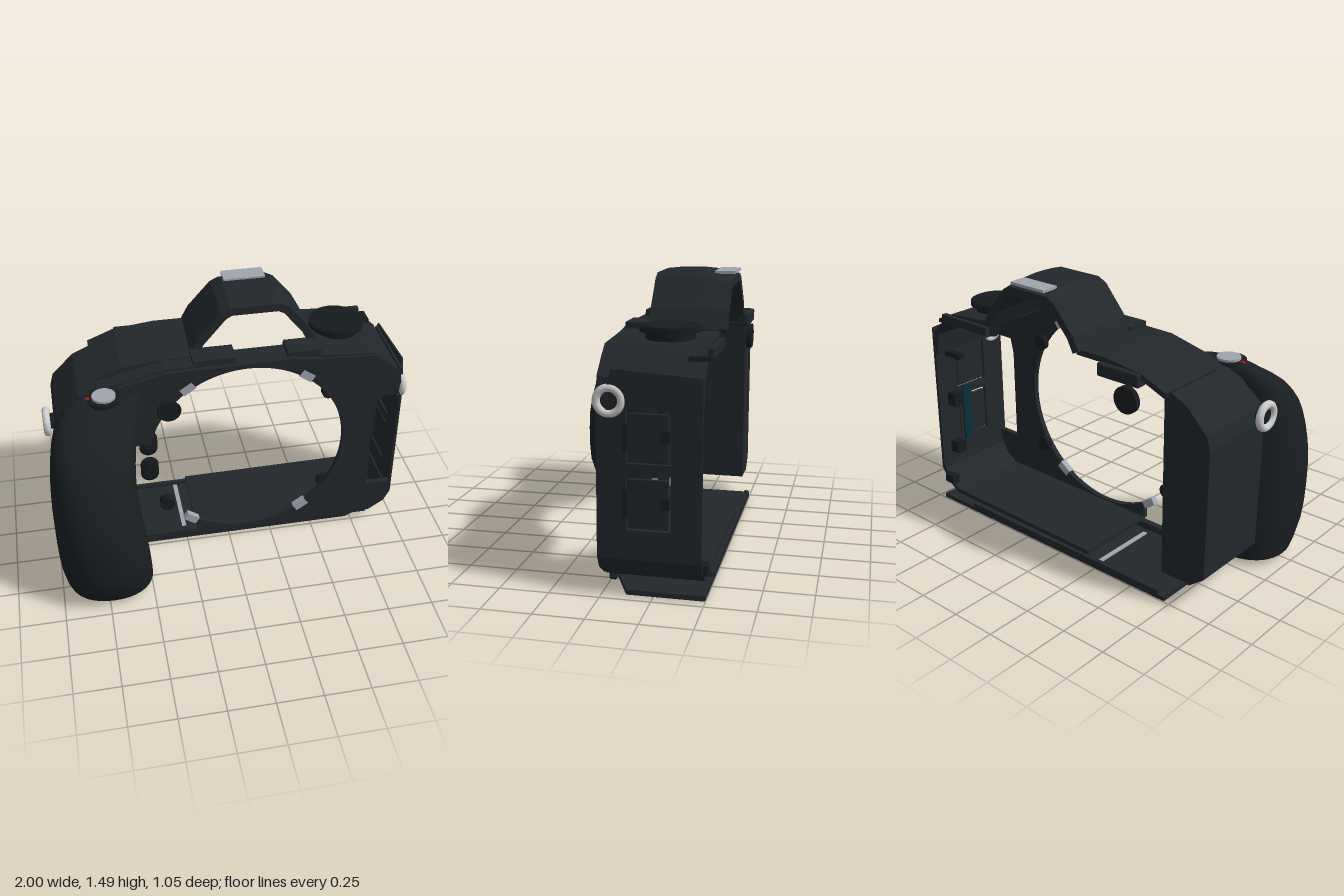
import * as THREE from 'three';
import { RoundedBoxGeometry } from 'three/addons/geometries/RoundedBoxGeometry.js';
import { toCreasedNormals } from 'three/addons/utils/BufferGeometryUtils.js';

const mat = (color) => new THREE.MeshStandardMaterial({ color, side: THREE.DoubleSide });
const BODY = mat(0x22272b), GRIP = mat(0x1a1f22), TRIM = mat(0x171b1e);
const SILVER = mat(0xa0a4ae), METAL = mat(0xcccccc), BLUE = mat(0x0d2c3c), RED = mat(0xaa1818);

export function createModel() {
  const model = new THREE.Group();
  const add = (name, geo, material = BODY, x = 0, y = 0, z = 0) => {
    const m = new THREE.Mesh(geo, material);
    m.name = name;
    m.position.set(x, y, z);
    model.add(m);
    return m;
  };
  // box given by its limits
  const box = (name, x0, x1, y0, y1, z0, z1, material = BODY, r = 0) => {
    const s = [x1 - x0, y1 - y0, z1 - z0];
    const geo = r ? new RoundedBoxGeometry(...s, 2, r) : new THREE.BoxGeometry(...s);
    return add(name, geo, material, (x0 + x1) / 2, (y0 + y1) / 2, (z0 + z1) / 2);
  };
  const vectors = (pts) => pts.map((p) => new THREE.Vector2(...p));
  const poly = (pts) => new THREE.Shape(vectors(pts));
  const extrude = (shape, depth, steps = 1) =>
    new THREE.ExtrudeGeometry(shape, { depth, steps, bevelEnabled: false, curveSegments: 48 });
  // folded sheet: a path in x/y thickened to its right and extruded from z0 to z1
  const band = (name, pts, t, z0, z1, steps = 1) => {
    const v = vectors(pts);
    const normal = (a, b) => new THREE.Vector2(b.y - a.y, a.x - b.x).normalize();
    const inner = v.map((p, i) => {
      const a = normal(v[Math.max(i - 1, 0)], v[Math.max(i, 1)]);
      const b = normal(v[Math.min(i, v.length - 2)], v[Math.min(i + 1, v.length - 1)]);
      const n = a.clone().add(b).normalize();
      return p.clone().addScaledVector(n, t / n.dot(a));
    });
    return add(name, extrude(new THREE.Shape([...v, ...inner.reverse()]), z1 - z0, steps), BODY, 0, 0, z0);
  };
  const disc = (name, r, h, x, y, z, axis, material = TRIM) => {
    const geo = new THREE.CylinderGeometry(r, r, h, 40);
    if (axis === 'z') geo.rotateX(Math.PI / 2);
    return add(name, toCreasedNormals(geo, 0.6), material, x, y, z);
  };

  // front plate around the lens opening, cut away beside the grip
  const front = poly([[-0.19, 0.07], [0.85, 0.07], [0.94, 0.13], [0.975, 0.2], [0.975, 0.92], [0.95, 1.06],
    [0.86, 1.14], [0.8, 1.185], [0.5, 1.2], [0.34, 1.22], [-0.34, 1.21], [-0.6, 1.15], [-0.75, 1.11],
    [-0.9, 0.98], [-0.9, 0.76], [-0.43, 0.76]]);
  const deg = Math.PI / 180;
  front.absarc(0.1, 0.64, 0.55, 167 * deg, -122 * deg, true);
  front.holes.push(new THREE.Path(vectors([[0.82, 0.28], [0.82, 0.82], [0.84, 0.91], [0.96, 0.91], [0.96, 0.28]])));
  add('frontPlate', extrude(front, 0.03), BODY, 0, 0, -0.015);

  // shoulders, ends and floor
  band('gripSideShell', [[-0.84, 0.13], [-0.93, 0.2], [-0.94, 0.9], [-0.92, 0.97], [-0.8, 1.09], [-0.7, 1.135],
    [-0.55, 1.17], [-0.34, 1.22], [-0.15, 1.22]], 0.025, -0.46, -0.01);
  band('gripSideTop', [[-0.71, 1.14], [-0.56, 1.2], [-0.34, 1.225], [-0.15, 1.225]], 0.03, -0.5, -0.1);
  add('gripSideRearPanel', extrude(poly([[-0.84, 0.14], [-0.67, 0.14], [-0.67, 1.12], [-0.78, 1.08],
    [-0.92, 0.97], [-0.93, 0.2]]), 0.025), BODY, 0, 0, -0.46);
  box('gripSideInnerWall', -0.69, -0.67, 0.14, 1.1, -0.46, -0.01);
  band('dialSideShell', [[0.49, 1.215], [0.8, 1.19], [0.86, 1.145], [0.95, 1.06], [0.975, 0.92]], 0.03, -0.485, 0);
  band('floorShell', [[0.975, 0.22], [0.975, 0.19], [0.93, 0.12], [0.85, 0.065], [-0.19, 0.055]], 0.025, -0.485, 0);

  // end wall with two door openings, drawn in (-z, y)
  const doors = [[0.34, 0.61], [0.66, 0.92]];
  const wall = poly([[0, 0.2], [0.485, 0.2], [0.485, 0.95], [0.47, 1.06], [0.02, 1.06], [0, 0.95]]);
  for (const [a, b] of doors) {
    wall.holes.push(new THREE.Path(vectors([[0.13, a], [0.13, b], [0.34, b], [0.34, a]])));
  }
  const sideways = (shape, depth) => extrude(shape, depth).rotateY(Math.PI / 2);
  add('endWall', sideways(wall, 0.017), BODY, 0.96);
  const skin = poly([[0.03, 0.21], [0.44, 0.23], [0.48, 0.3], [0.48, 1.07], [0.06, 1.1], [0.03, 1.0]]);
  skin.holes = wall.holes;
  add('endWallSkin', sideways(skin, 0.01), BODY, 0.974);
  for (const [a, b] of doors) {
    box('portDoor', 0.965, 0.99, a + 0.012, b - 0.022, -0.33, -0.14);
    box('doorHinge', 0.97, 1.0, a + 0.06, b - 0.07, -0.135, -0.118, TRIM);
    box('doorCatch', 0.975, 0.995, a + 0.11, a + 0.16, -0.335, -0.295, TRIM);
  }

  // viewfinder arch, open underneath and towards front and back
  const arch = band('viewfinderArch', [[-0.19, 1.22], [-0.15, 1.3], [-0.02, 1.46], [0.03, 1.487], [0.3, 1.487],
    [0.35, 1.46], [0.46, 1.32], [0.51, 1.22]], 0.045, -0.515, -0.13, 6);
  const ap = arch.geometry.attributes.position;
  for (let i = 0; i < ap.count; i++) {
    // crown bows gently and the sides draw in to the back
    const k = ap.getZ(i) / 0.385, h = Math.max(0, ap.getY(i) - 1.23) / 0.257;
    ap.setY(i, ap.getY(i) - h * (k < 0.56 ? 0.1 * (0.56 - k) ** 2 : 0.06 * (k - 0.56) ** 2));
    ap.setX(i, 0.16 + (ap.getX(i) - 0.16) * (0.96 + 0.04 * k));
  }
  arch.geometry.computeVertexNormals();
  box('accessoryPlate', 0.05, 0.28, 1.472, 1.487, -0.52, -0.42, SILVER);
  box('archFrontLedge', -0.19, 0.04, 1.205, 1.25, -0.14, -0.01);
  box('archFrontStrip', 0.04, 0.32, 1.195, 1.215, -0.14, 0);
  box('archDialLedge', 0.32, 0.5, 1.205, 1.245, -0.14, -0.01);

  // control dials and wheels
  disc('dialCollar', 0.12, 0.04, 0.65, 1.215, -0.27, 'y');
  disc('topDial', 0.15, 0.025, 0.65, 1.245, -0.27, 'y');
  disc('topDialCap', 0.14, 0.01, 0.65, 1.257, -0.27, 'y');
  disc('rearWheel', 0.07, 0.03, -0.48, 1.05, -0.51, 'z');
  box('rearWheelHousing', -0.56, -0.3, 1.13, 1.2, -0.525, -0.46, BODY, 0.01);
  box('rearTopBar', 0.5, 0.85, 1.14, 1.185, -0.51, -0.48);
  box('rearTopLug', 0.8, 0.89, 1.13, 1.15, -0.5, -0.4, TRIM);

  // grip: egg-shaped sections [y, left x, right x, back z, front z], open at the foot
  const sections = [[0.04, -0.96, -0.49, 0.02, 0.44], [0.1, -0.975, -0.493, 0.01, 0.475], [0.2, -0.99, -0.5, 0, 0.515],
    [0.3, -0.997, -0.51, 0, 0.527], [0.4, -1, -0.52, 0, 0.53], [0.5, -1, -0.532, 0, 0.528], [0.6, -1, -0.542, 0, 0.512],
    [0.68, -0.997, -0.546, 0, 0.49], [0.76, -0.992, -0.547, 0, 0.465], [0.84, -0.984, -0.542, 0, 0.432],
    [0.9, -0.975, -0.535, 0, 0.4], [0.96, -0.962, -0.525, 0, 0.35], [1.02, -0.943, -0.515, 0, 0.285],
    [1.07, -0.91, -0.504, -0.01, 0.215], [1.11, -0.865, -0.497, -0.01, 0.15], [1.13, -0.83, -0.495, -0.005, 0.125],
    [1.137, -0.79, -0.53, 0.005, 0.11]];
  const N = 40, pos = [], idx = [];
  const power = (c) => Math.sign(c) * Math.abs(c) ** 0.9;
  for (const [y, x0, x1, z0, z1] of sections) {
    for (let i = 0; i < N; i++) {
      const a = (i / N) * Math.PI * 2;
      pos.push((x0 + x1) / 2 + power(Math.cos(a)) * (x1 - x0) / 2, y, (z0 + z1) / 2 + power(Math.sin(a)) * (z1 - z0) / 2);
    }
  }
  const last = sections.length - 1;
  pos.push(-0.665, 1.138, 0.06);
  for (let i = 0; i < N; i++) {
    const j = (i + 1) % N;
    for (let r = 0; r < last; r++) {
      const a = r * N + i, b = r * N + j;
      idx.push(a, a + N, b, b, a + N, b + N);
    }
    idx.push(last * N + i, pos.length / 3 - 1, last * N + j);
  }
  const grip = new THREE.BufferGeometry();
  grip.setAttribute('position', new THREE.Float32BufferAttribute(pos, 3));
  grip.setIndex(idx);
  grip.computeVertexNormals();
  add('handGrip', grip, GRIP);
  disc('shutterCollar', 0.09, 0.02, -0.67, 1.132, 0.06, 'y');
  disc('shutterButton', 0.062, 0.025, -0.67, 1.142, 0.06, 'y', SILVER);
  box('shutterMark', -0.765, -0.745, 1.135, 1.145, 0.05, 0.07, RED);

  // front buttons beside the lens opening
  for (const y of [0.58, 0.76]) {
    const pill = new THREE.CapsuleGeometry(0.05, 0.065, 6, 24).scale(1, 1, 0.3);
    add('pillButton', pill, TRIM, -0.45, y, 0);
  }
  disc('roundButton', 0.05, 0.06, -0.33, 0.975, 0, 'z');
  add('roundButtonRim', new THREE.TorusGeometry(0.058, 0.008, 8, 40), TRIM, -0.33, 0.975, 0.02);
  disc('lensRelease', 0.042, 0.05, -0.36, 0.31, -0.01, 'z');
  for (const y of [0.31, 0.955]) disc('mountScrew', 0.042, 0.03, 0.565, y, -0.03, 'z');

  // silver tabs on the rim of the opening
  for (const sx of [-1, 1]) for (const sy of [-1, 1]) {
    const tab = add('mountTab', new THREE.BoxGeometry(0.08, 0.045, 0.035), SILVER, 0.1 + sx * 0.325, 0.64 + sy * 0.46, 0);
    tab.rotation.z = -sx * sy * 35 * deg;
  }

  // strap rings at both ends
  for (const s of [-1, 1]) {
    add('strapRing', new THREE.TorusGeometry(0.06, 0.02, 14, 40).rotateY(Math.PI / 2), METAL, s * 0.975, 0.95, -0.048);
    const lug = disc('strapLug', 0.042, 0.04, s * 0.955, 0.95, -0.048, 'y');
    lug.rotation.z = Math.PI / 2;
  }

  // brackets and strip inside the port bay
  box('upperBracket', 0.9, 0.97, 0.58, 0.66, -0.42, -0.36, TRIM);
  box('lowerBracket', 0.9, 0.97, 0.28, 0.35, -0.42, -0.36, TRIM);
  box('bracketRail', 0.84, 0.96, 0.89, 0.92, -0.42, -0.38, TRIM);
  box('contactStrip', 0.82, 0.835, 0.4, 0.74, -0.42, -0.36, BLUE);

  // base plate with battery door, exposed below the cut-away part of the floor
  add('basePlate', extrude(poly([[-0.72, 0.06], [-0.66, 0.02], [0.72, 0.02], [0.95, 0.12], [0.95, 0.5],
    [-0.72, 0.5]]), 0.025).rotateX(-Math.PI / 2), BODY, 0, 0.004, 0);
  box('batteryDoor', -0.68, -0.3, 0.0, 0.01, -0.46, -0.06, TRIM);
  box('batteryLatch', -0.27, -0.245, -0.001, 0.036, -0.47, -0.08, SILVER);
  box('baseFrontRib', -0.6, 0.85, 0.03, 0.075, -0.05, -0.01, BODY, 0.01);
  box('baseRearHinge', -0.68, 0.7, 0.01, 0.05, -0.5, -0.475);
  box('rearFoot', 0.86, 0.93, 0.12, 0.17, -0.505, -0.46, TRIM);
  return model;
}
